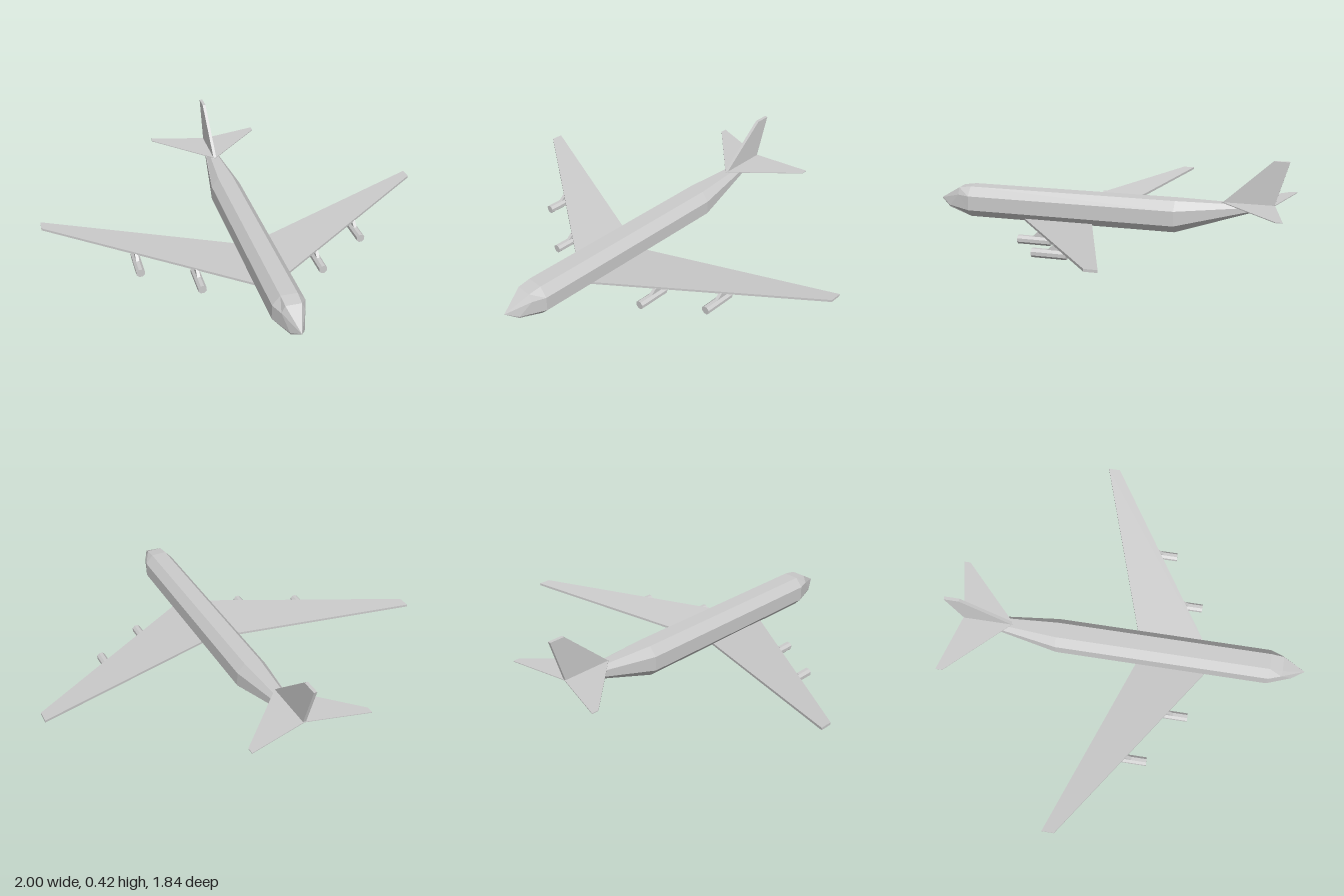
import * as THREE from 'three';

const mat = new THREE.MeshStandardMaterial({ color: 0xcccccc, flatShading: true, side: THREE.DoubleSide });

// Skin a series of equal-length point rings, closing both ends
function loft(name, rings) {
  const n = rings[0].length, pos = rings.flat(2), idx = [];
  for (let r = 0; r < rings.length - 1; r++) {
    for (let i = 0; i < n; i++) {
      const a = r * n + i, b = r * n + (i + 1) % n;
      idx.push(a, b, b + n, a, b + n, a + n);
    }
  }
  const last = (rings.length - 1) * n;
  for (let i = 1; i < n - 1; i++) {
    idx.push(0, i + 1, i, last, last + i, last + i + 1);
  }
  const geo = new THREE.BufferGeometry();
  geo.setAttribute('position', new THREE.Float32BufferAttribute(pos, 3));
  geo.setIndex(idx);
  const flat = geo.toNonIndexed();
  flat.computeVertexNormals();
  const mesh = new THREE.Mesh(flat, mat);
  mesh.name = name;
  return mesh;
}

// Symmetric eight-sided ring from four [x, y, z] points, bottom to top
const ring = (half) => [
  ...half,
  ...half.slice().reverse().map(([x, y, z]) => [-x, y, z]),
];
const hull = (z) => ring([[0.04, 0.04, z], [0.078, 0.08, z], [0.078, 0.155, z], [0.04, 0.2, z]]);

// Vertical plate in the z-y plane
function plate(name, points, x, t) {
  const side = (s) => points.map(([z, y]) => [x + s * t / 2, y, z]);
  return loft(name, [side(-1), side(1)]);
}

// Wing cross-section at a given span position
const section = (x, y, t, front, back) => [[x, y, front], [x, y + t, front], [x, y + t, back], [x, y, back]];

export function createModel() {
  const model = new THREE.Group();
  model.name = 'airliner';

  // Fuselage: upswept tail, straight barrel, faceted nose
  model.add(loft('fuselage', [
    ring([[0.004, 0.196, -0.84], [0.01, 0.197, -0.84], [0.01, 0.199, -0.84], [0.004, 0.2, -0.84]]),
    hull(-0.36),
    hull(0.735),
    ring([[0.03, 0.08, 0.86], [0.034, 0.09, 0.86], [0.055, 0.155, 0.8], [0.038, 0.191, 0.8]]),
    ring([0, 1, 2, 3].map(() => [0, 0.12, 0.92])),
  ]));

  // Swept wings joined under the belly
  model.add(loft('wing', [
    section(-1, 0.135, 0.012, -0.195, -0.255),
    section(-0.04, 0.038, 0.012, 0.435, 0.068),
    section(0.04, 0.038, 0.012, 0.435, 0.068),
    section(1, 0.135, 0.012, -0.195, -0.255),
  ]));

  // Two engines on pylons under each wing
  for (const side of [-1, 1]) {
    for (const [x, y, z] of [[0.305, 0.022, 0.278], [0.57, 0.05, 0.105]]) {
      const engine = new THREE.Group();
      engine.name = 'engine';
      const geo = new THREE.CylinderGeometry(0.022, 0.022, 0.168, 8);
      geo.rotateY(Math.PI / 8).rotateX(Math.PI / 2);
      const nacelle = new THREE.Mesh(geo, mat);
      nacelle.name = 'nacelle';
      nacelle.position.set(side * x, y, z);
      const wingY = 0.043 + (x - 0.04) * 0.101;
      engine.add(nacelle, plate('pylon', [
        [z + 0.03, y], [z - 0.02, wingY], [z - 0.12, wingY], [z - 0.08, y],
      ], side * x, 0.016));
      model.add(engine);
    }
  }

  // Thin tailplane
  model.add(loft('tailplane', [
    section(-0.3, 0.199, 0.004, -0.89, -0.924),
    section(0, 0.199, 0.004, -0.585, -0.842),
    section(0.3, 0.199, 0.004, -0.875, -0.908),
  ]));

  // Upright fin
  model.add(plate('fin', [[-0.59, 0.2], [-0.83, 0.42], [-0.906, 0.42], [-0.84, 0.2]], 0, 0.016));

  return model;
}
